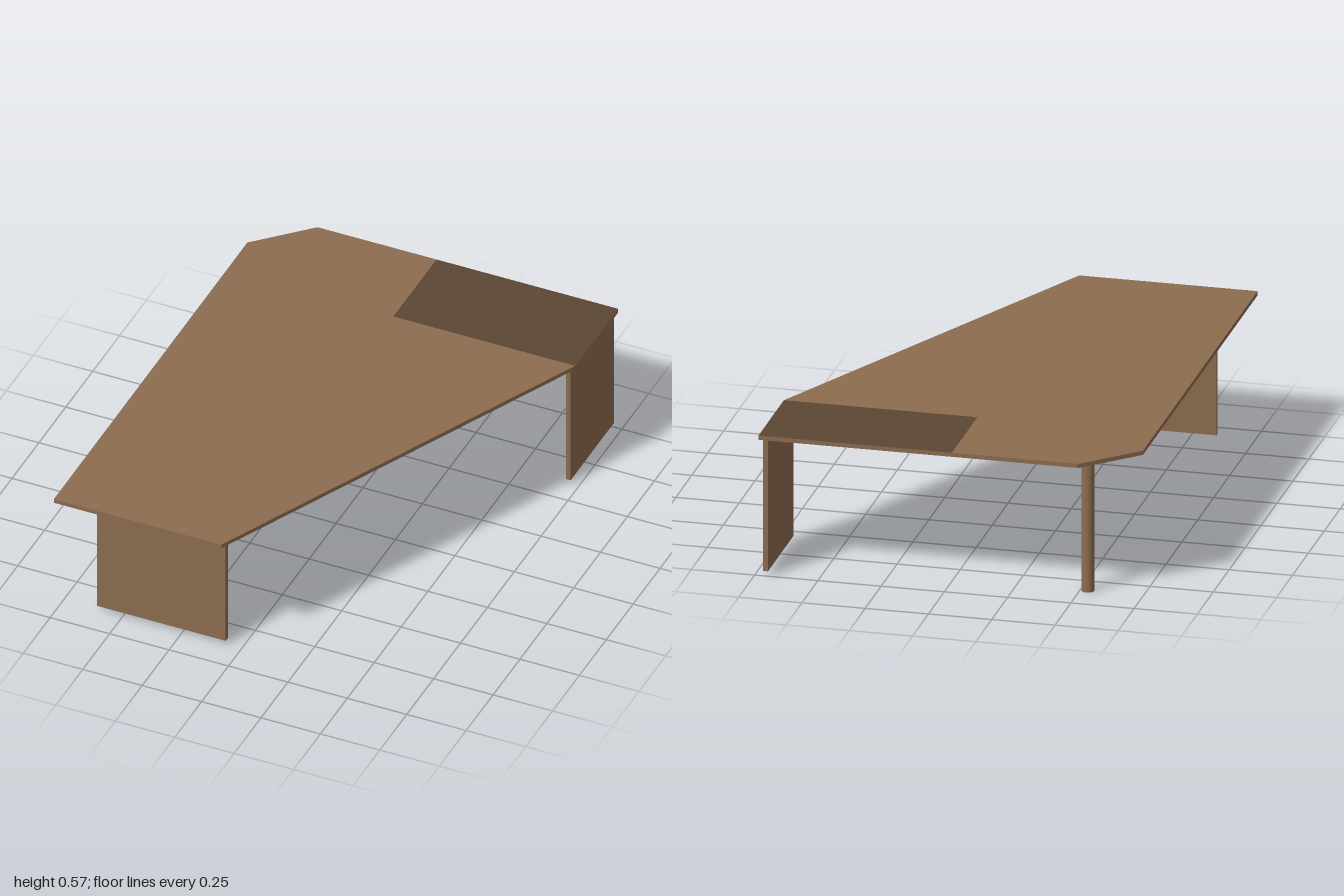
import * as THREE from 'three';

const TOP = 0.572, UNDER = 0.555, FLOOR_GAP = 0.02;

export function createModel() {
  const table = new THREE.Group();
  table.name = 'table';
  const wood = new THREE.MeshStandardMaterial({ color: 0x8d6c50 });
  const darkWood = new THREE.MeshStandardMaterial({ color: 0x5c4735 });

  const add = (name, geometry, material = wood) => {
    const mesh = new THREE.Mesh(geometry, material);
    mesh.name = name;
    table.add(mesh);
    return mesh;
  };

  // Flat board from an outline of [x, z] corners
  const board = (name, corners) => {
    const shape = new THREE.Shape(corners.map(([x, z]) => new THREE.Vector2(x, -z)));
    const geometry = new THREE.ExtrudeGeometry(shape, { depth: TOP - UNDER, bevelEnabled: false });
    geometry.rotateX(-Math.PI / 2).translate(0, UNDER, 0);
    return add(name, geometry);
  };

  // Box given by its limits on each axis
  const slab = (name, [x0, x1], [y0, y1], [z0, z1], material) => {
    const geometry = new THREE.BoxGeometry(x1 - x0, y1 - y0, z1 - z0);
    geometry.translate((x0 + x1) / 2, (y0 + y1) / 2, (z0 + z1) / 2);
    return add(name, geometry, material);
  };

  // Tabletop: long board with a clipped corner, tapering wing and dark inset panel
  board('mainTop', [[-0.735, 1], [-0.03, 1], [-0.03, -1], [-0.53, -1], [-0.735, -0.8]]);
  board('taperedTop', [[-0.03, 1], [0.735, -0.6], [-0.03, -0.6]]);
  slab('darkTopPanel', [-0.03, 0.735], [UNDER, TOP], [-1, -0.6],
    [wood, wood, darkWood, wood, wood, wood]);

  // Two panel legs
  slab('frontPanelLeg', [-0.607, -0.065], [FLOOR_GAP, UNDER], [0.862, 0.882]);
  slab('sidePanelLeg', [0.697, 0.717], [FLOOR_GAP, UNDER], [-1, -0.597]);

  // Round leg under the clipped corner
  add('roundLeg', new THREE.CylinderGeometry(0.025, 0.025, UNDER, 32))
    .position.set(-0.53, UNDER / 2, -0.85);

  return table;
}
